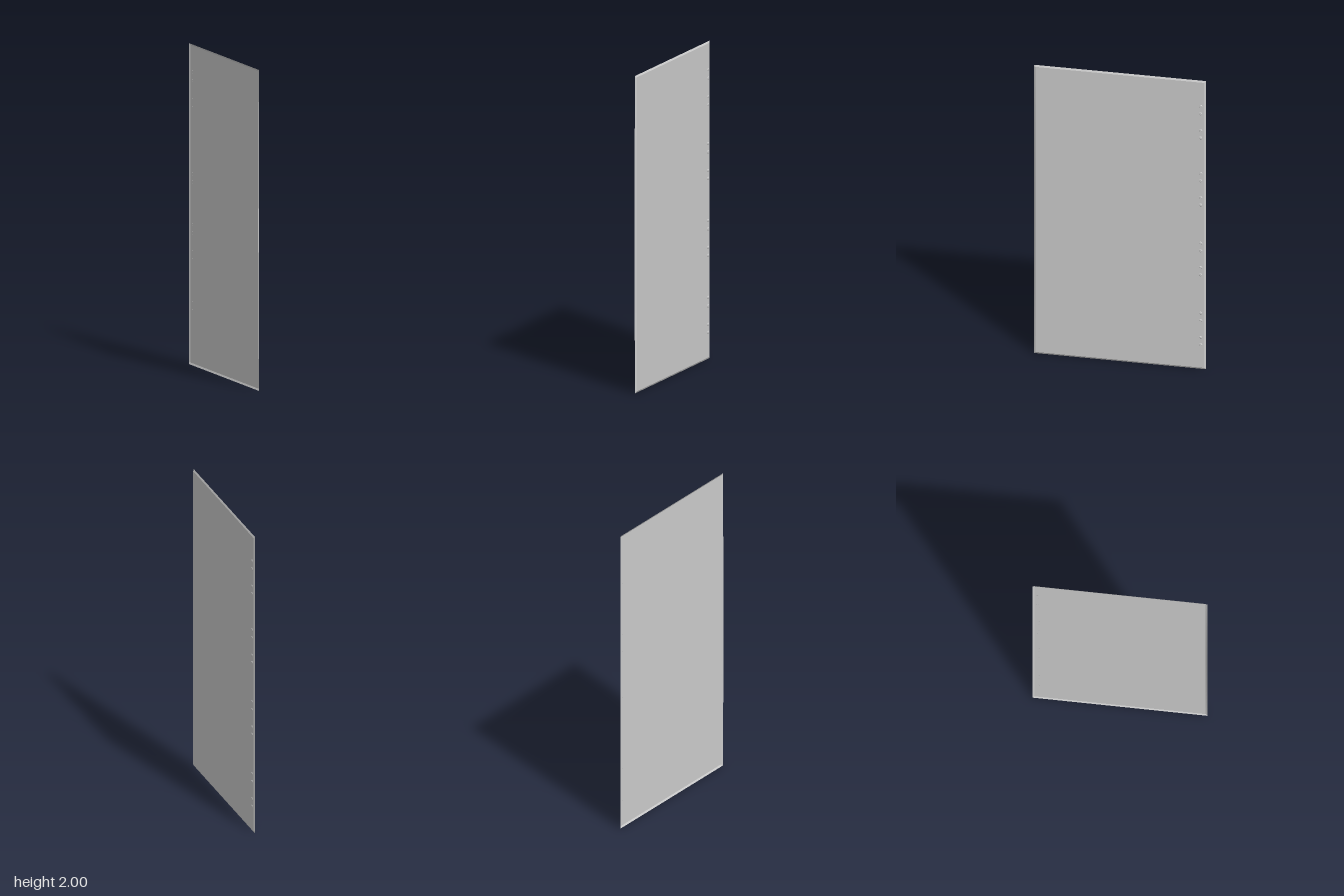
import * as THREE from 'three';

const HALF_DEPTH = 0.54, HEIGHT = 2, RIM = 0.011, FACE_X = 0.003;

// Thin sheet whose four edges are folded back towards -x
function foldedSheet() {
  const rows = 16;
  const zs = [HALF_DEPTH, HALF_DEPTH - RIM, RIM - HALF_DEPTH, -HALF_DEPTH];
  const ys = [HEIGHT];
  for (let i = 0; i <= rows; i++) ys.push(HEIGHT - RIM - (i / rows) * (HEIGHT - 2 * RIM));
  ys.push(0);

  const geo = new THREE.PlaneGeometry(1, 1, zs.length - 1, ys.length - 1);
  const pos = geo.attributes.position;
  for (let r = 0; r < ys.length; r++) {
    for (let c = 0; c < zs.length; c++) {
      const y = ys[r];
      let x = FACE_X;
      if (r === 0 || r === ys.length - 1 || c === 3) x = -0.003;
      // the front lip bows out a little at mid height
      if (c === 0) x = -0.003 - 0.005 * Math.sin((Math.PI * y) / HEIGHT);
      pos.setXYZ(r * zs.length + c, x, y, zs[c]);
    }
  }
  geo.computeVertexNormals();
  return geo;
}

export function createModel() {
  const model = new THREE.Group();
  const sheetMaterial = new THREE.MeshStandardMaterial({
    color: 0xcccccc, side: THREE.DoubleSide, flatShading: true,
  });

  const panel = new THREE.Mesh(foldedSheet(), sheetMaterial);
  panel.name = 'panel';
  model.add(panel);

  // Four hinge positions, each with two pairs of rivets along the back edge
  const rivets = new THREE.Group();
  rivets.name = 'hingeRivets';
  const rivetGeo = new THREE.CylinderGeometry(0.007, 0.012, 0.005, 8);
  rivetGeo.rotateZ(-Math.PI / 2);
  for (const base of [0.17, 0.655, 1.14, 1.605]) {
    for (const offset of [0, 0.05, 0.167, 0.22]) {
      const rivet = new THREE.Mesh(rivetGeo, sheetMaterial);
      rivet.name = 'rivet';
      rivet.position.set(FACE_X + 0.001, base + offset, -0.507);
      rivets.add(rivet);
    }
  }
  model.add(rivets);
  return model;
}
